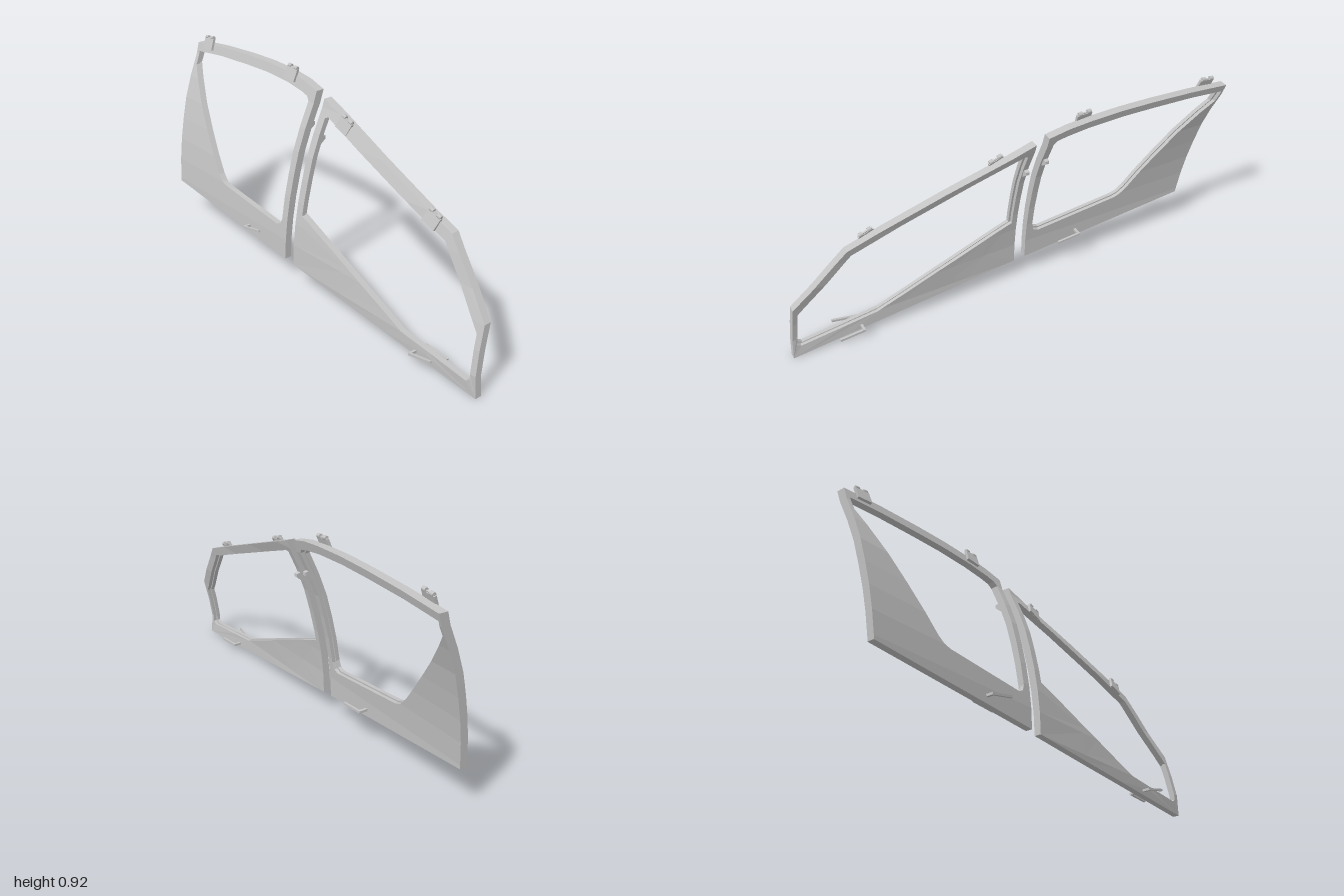
import * as THREE from 'three';

const grey = new THREE.MeshStandardMaterial({ color: 0xc4c4c4 });
grey.name = 'panel grey';

// Outer skin profile: x at every 0.1 of height
const STEP = 0.1;
const PROFILE = [-0.09, -0.1, -0.096, -0.085, -0.068, -0.045, -0.018, 0.02, 0.066, 0.098, 0.13];

function skinX(y, z) {
  const i = THREE.MathUtils.clamp(Math.floor(y / STEP), 0, PROFILE.length - 2);
  const base = THREE.MathUtils.lerp(PROFILE[i], PROFILE[i + 1], y / STEP - i);
  // the front door also sweeps inwards towards its nose
  return base + 0.05 * Math.max(0, z + 0.06) * THREE.MathUtils.clamp((y - 0.05) / 0.35, 0, 1);
}

// Cut every triangle along one axis at a given level
function slice(tris, axis, level) {
  const out = [];
  for (const tri of tris) {
    const low = [], high = [];
    tri.forEach((a, i) => {
      const b = tri[(i + 1) % 3];
      const da = a[axis] - level, db = b[axis] - level;
      if (da <= 1e-6) low.push(a);
      if (da >= -1e-6) high.push(a);
      if ((da < -1e-6 && db > 1e-6) || (da > 1e-6 && db < -1e-6)) {
        const p = a.clone().lerp(b, da / (da - db));
        low.push(p);
        high.push(p);
      }
    });
    for (const poly of [low, high])
      for (let k = 1; k < poly.length - 1; k++) out.push([poly[0], poly[k], poly[k + 1]]);
  }
  return out;
}

// Flat frame in (z, y), extruded across x and bent onto the skin.
// The outline runs rearwards along the bottom, the hole forwards.
function bentFrame(name, outline, hole, from, to) {
  const pts = list => list.map(([z, y]) => new THREE.Vector2(-z, y));
  const shape = new THREE.Shape(pts(outline));
  shape.holes.push(new THREE.Path(pts(hole)));
  const flat = new THREE.ExtrudeGeometry(shape, { depth: to - from, bevelEnabled: false });
  flat.translate(0, 0, from).rotateY(Math.PI / 2);
  const pos = flat.attributes.position;
  let tris = [];
  for (let i = 0; i < pos.count; i += 3)
    tris.push([0, 1, 2].map(k => new THREE.Vector3().fromBufferAttribute(pos, i + k)));
  for (let i = 1; i < 9; i++) tris = slice(tris, 'y', i * STEP);
  for (const z of [0.25, 0.5, 0.75]) tris = slice(tris, 'z', z);
  const bent = tris.flat().map(p =>
    new THREE.Vector3(skinX(p.y, p.z) + p.x * (0.8 + 0.25 * p.y), p.y, p.z));
  const geo = new THREE.BufferGeometry().setFromPoints(bent);
  geo.computeVertexNormals();
  const mesh = new THREE.Mesh(geo, grey);
  mesh.name = name;
  return mesh;
}

function widen(hole, s) {
  const n = hole.length;
  const cz = hole.reduce((t, p) => t + p[0], 0) / n;
  const cy = hole.reduce((t, p) => t + p[1], 0) / n;
  return hole.map(([z, y]) => [cz + (z - cz) * s, cy + (y - cy) * s]);
}

function box(name, w, h, d, y) {
  const mesh = new THREE.Mesh(new THREE.BoxGeometry(w, h, d), grey);
  mesh.name = name;
  mesh.position.y = y;
  return mesh;
}

// Thin bar between two points
function bar(name, a, b, size) {
  const p = new THREE.Vector3(...a), q = new THREE.Vector3(...b);
  const mesh = new THREE.Mesh(new THREE.BoxGeometry(size, size, p.distanceTo(q) + size), grey);
  mesh.name = name;
  mesh.position.copy(p).lerp(q, 0.5);
  mesh.lookAt(q);
  return mesh;
}

// Through-bar with a lever on each side of the door
function handle(y, z) {
  const g = new THREE.Group();
  g.name = 'handle';
  g.add(
    bar('handleShaft', [-0.123, y, z], [-0.032, y - 0.003, z], 0.011),
    bar('outerLever', [-0.125, y, z], [-0.125, y + 0.022, z + 0.105], 0.01),
    bar('innerLever', [-0.03, y - 0.003, z], [-0.03, y - 0.011, z + 0.105], 0.01));
  return g;
}

// Clasp lying on the outside of the upper rail: plate, two knuckles and a pin
function hinge(y, z, tilt) {
  const g = new THREE.Group();
  g.name = 'hinge';
  g.add(box('hingePlate', 0.012, 0.055, 0.068, -0.016), box('hingePin', 0.006, 0.006, 0.06, 0.013));
  for (const side of [-1, 1]) {
    const knuckle = new THREE.Mesh(new THREE.CylinderGeometry(0.009, 0.009, 0.018, 10), grey);
    knuckle.name = 'hingeKnuckle';
    knuckle.rotation.x = Math.PI / 2;
    knuckle.position.set(0, 0.015, side * 0.02);
    g.add(knuckle);
  }
  g.position.set(skinX(y, z) - 0.003, y, z);
  g.rotation.set(tilt, 0, -0.36);
  return g;
}

// Wedge-shaped catch on the inside of a pillar
function latch(y, z) {
  const s = new THREE.Shape();
  s.moveTo(0, -0.022);
  s.lineTo(0.03, 0.0);
  s.lineTo(0.03, 0.014);
  s.lineTo(0, 0.022);
  const geo = new THREE.ExtrudeGeometry(s, { depth: 0.018, bevelEnabled: false });
  const mesh = new THREE.Mesh(geo, grey);
  mesh.name = 'latch';
  mesh.position.set(skinX(y, z) + 0.03, y, z - 0.009);
  return mesh;
}

function door(name, outline, hole) {
  const g = new THREE.Group();
  g.name = name;
  g.add(
    bentFrame('outerSkin', outline, hole, 0, 0.02),
    bentFrame('innerFrame', outline, widen(hole, 1.02), 0.02, 0.038));
  return g;
}

export function createModel() {
  const model = new THREE.Group();
  model.name = 'sideDoors';

  const front = door('frontDoor',
    [[1, 0.004], [-0.055, 0.103], [-0.055, 0.835], [0.745, 0.557], [0.978, 0.3]],
    [[-0.02, 0.348], [0, 0.342], [0.61, 0.1], [0.95, 0.062], [0.968, 0.075], [0.955, 0.257],
      [0.722, 0.522], [-0.005, 0.772], [-0.02, 0.765]]);
  front.add(handle(0.052, 0.692), hinge(0.59, 0.65, 0.34), hinge(0.78, 0.1, 0.34), latch(0.665, -0.043));

  const rear = door('rearDoor',
    [[-0.11, 0.108], [-0.947, 0.183], [-0.975, 0.55], [-0.995, 0.852], [-0.8, 0.872], [-0.6, 0.884],
      [-0.45, 0.888], [-0.3, 0.883], [-0.2, 0.873], [-0.11, 0.852]],
    [[-0.145, 0.8], [-0.16, 0.818], [-0.2, 0.828], [-0.3, 0.841], [-0.45, 0.847], [-0.6, 0.843],
      [-0.8, 0.833], [-0.972, 0.815], [-0.967, 0.755], [-0.63, 0.328], [-0.6, 0.302], [-0.57, 0.292],
      [-0.18, 0.252], [-0.155, 0.262], [-0.145, 0.29]]);
  rear.add(handle(0.166, -0.375), hinge(0.896, -0.285, 0.06), hinge(0.88, -0.905, -0.1), latch(0.7, -0.127));

  model.add(front, rear);
  return model;
}
